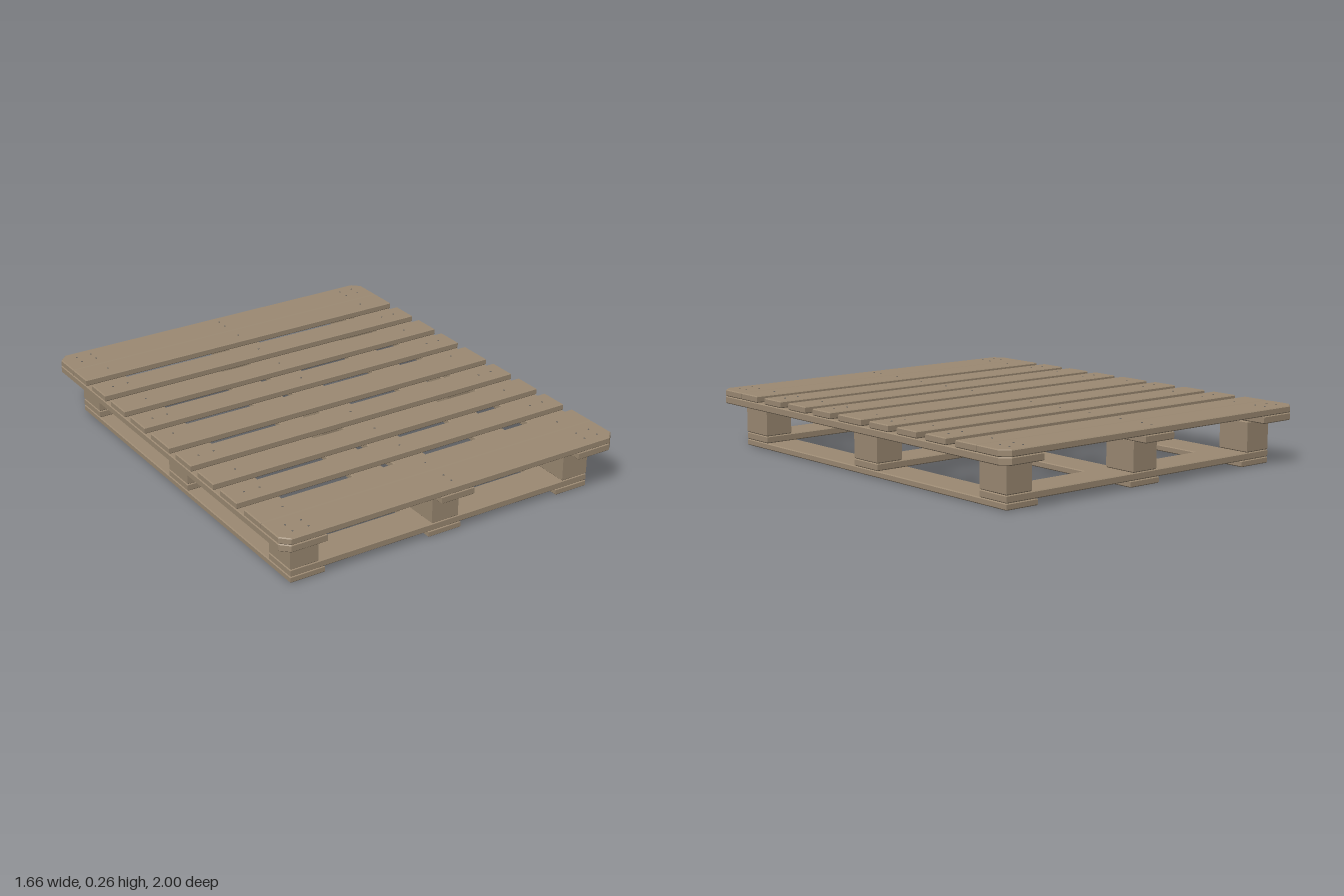
import * as THREE from 'three';

const wood = new THREE.MeshStandardMaterial({ color: 0x9c8a73 });
wood.name = 'weathered wood';
const steel = new THREE.MeshStandardMaterial({ color: 0x6f6a64 });
steel.name = 'nail steel';

const BEVEL = 0.004;
const CLIP = 0.035;

// Sawn timber with eased edges; clip lists the corners cut off, as 'x sign, z sign'.
function timber(name, [x0, x1], [y0, y1], [z0, z1], clip = []) {
  const cx = (x0 + x1) / 2, cz = (z0 + z1) / 2;
  const hx = (x1 - x0) / 2 - BEVEL, hz = (z1 - z0) / 2 - BEVEL;
  const points = [];
  for (const [sx, sz] of [[1, 1], [-1, 1], [-1, -1], [1, -1]]) {
    if (clip.some(([a, b]) => a === sx && b === sz)) {
      const alongX = new THREE.Vector2(sx * (hx - CLIP), sz * hz);
      const alongZ = new THREE.Vector2(sx * hx, sz * (hz - CLIP));
      points.push(...(sx * sz > 0 ? [alongZ, alongX] : [alongX, alongZ]));
    } else {
      points.push(new THREE.Vector2(sx * hx, sz * hz));
    }
  }
  const geometry = new THREE.ExtrudeGeometry(new THREE.Shape(points), {
    depth: y1 - y0 - 2 * BEVEL,
    bevelThickness: BEVEL, bevelSize: BEVEL, bevelSegments: 1,
  });
  // Shape y becomes -z; the outline is symmetric enough that z signs are flipped back below
  geometry.rotateX(-Math.PI / 2);
  const mesh = new THREE.Mesh(geometry, wood);
  mesh.position.set(cx, y0 + BEVEL, cz);
  mesh.name = name;
  return mesh;
}

const nailGeometry = new THREE.CylinderGeometry(0.004, 0.004, 0.004, 8);
function nail(x, y, z) {
  const mesh = new THREE.Mesh(nailGeometry, steel);
  mesh.position.set(x, y, z);
  mesh.name = 'nail';
  return mesh;
}

export function createModel() {
  const model = new THREE.Group();
  model.name = 'pallet';

  const runnerY = [0.003, 0.031];
  const crossY = [0.031, 0.063];
  const blockY = [0.063, 0.199];
  const stringerY = [0.199, 0.232];
  const deckY = [0.232, 0.262];
  const rows = [[-0.915, -0.753], [-0.081, 0.081], [0.753, 0.915]];

  // Bottom runners, front to back
  for (const x of [[-0.748, -0.585], [-0.081, 0.081], [0.585, 0.748]])
    model.add(timber('bottomRunner', x, runnerY, [-0.915, 0.915]));

  // Cross boards and spacer blocks
  for (const z of rows) {
    model.add(timber('crossBoard', [-0.748, 0.748], crossY, z));
    for (const x of [[-0.748, -0.617], [-0.066, 0.066], [0.617, 0.748]])
      model.add(timber('spacerBlock', x, blockY, z));
  }

  // Stringers under the deck; the outer ones have clipped outside corners
  model.add(timber('leftStringer', [0.627, 0.83], stringerY, [-1, 1], [[1, 1], [1, -1]]));
  model.add(timber('centreStringer', [-0.081, 0.081], stringerY, [-1, 1]));
  model.add(timber('rightStringer', [-0.83, -0.627], stringerY, [-1, 1], [[-1, 1], [-1, -1]]));

  // Deck slats: centre, then mirrored pairs
  const deck = new THREE.Group();
  deck.name = 'deck';
  const deckX = [-0.83, 0.83];
  deck.add(timber('centreSlat', deckX, deckY, [-0.081, 0.081]));
  for (const [a, b] of [[0.139, 0.269], [0.327, 0.456], [0.514, 0.643], [0.703, 0.832]]) {
    deck.add(timber('slat', deckX, deckY, [a, b]));
    deck.add(timber('slat', deckX, deckY, [-b, -a]));
  }
  // Shape y maps to -z, so the front end board clips its shape-negative corners
  deck.add(timber('frontEndSlat', deckX, deckY, [0.834, 1], [[1, -1], [-1, -1]]));
  deck.add(timber('backEndSlat', deckX, deckY, [-1, -0.834], [[1, 1], [-1, 1]]));
  model.add(deck);

  // Nail heads on the deck
  const nails = new THREE.Group();
  nails.name = 'nails';
  const five = [-0.757, -0.685, 0, 0.695, 0.763];
  const three = [-0.69, 0, 0.695];
  const nailRows = [
    [0.95, five], [0.895, five], [0.767, three], [0.579, five],
    [0.392, three], [0.204, five],
  ];
  for (const [z, xs] of nailRows)
    for (const x of xs)
      nails.add(nail(x, 0.262, z), nail(x, 0.262, -z));
  for (const x of [-0.75, 0.71]) nails.add(nail(x, 0.262, -0.03));

  // Nail heads beneath the runners
  for (const z of [-0.834, 0, 0.834])
    for (const x of [-0.69, -0.64, 0, 0.64, 0.69])
      nails.add(nail(x, 0.002, z + (Math.abs(x) > 0.65 ? 0.03 : -0.03)));
  model.add(nails);

  return model;
}
